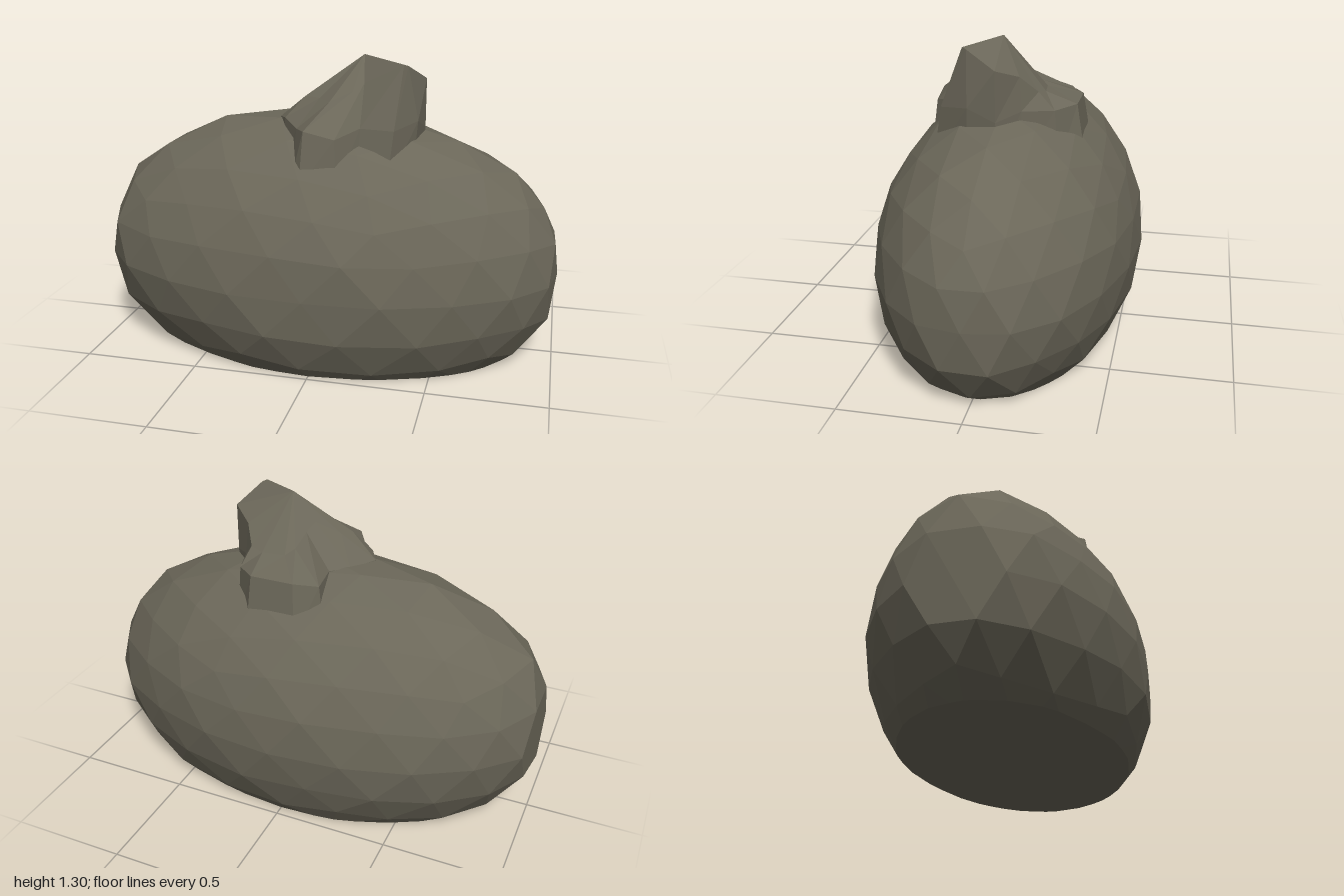
import * as THREE from 'three';

const stone = new THREE.MeshStandardMaterial({ color: 0x6b6759, flatShading: true });
stone.name = 'stone';

// Flat-faced mesh from a list of corner points, three per triangle
function facetMesh(name, corners) {
  const geometry = new THREE.BufferGeometry().setFromPoints(corners);
  geometry.computeVertexNormals();
  const mesh = new THREE.Mesh(geometry, stone);
  mesh.name = name;
  return mesh;
}

// Swellings of the boulder: direction, height, sharpness
const bumps = [
  [-0.66, 0.75, 0, 0.09, 8],
  [-0.9, 0, 0.4, 0.07, 10],
  [-1, 0.3, 0, 0.03, 12],
  [0.7, 0.7, 0, 0.05, 8],
  [0, -0.3, 1, 0.04, 8],
  [-0.1, 1, 0, 0.03, 6],
  [0.85, -0.5, 0, 0.03, 12],
].map(([x, y, z, height, sharp]) => ({ dir: new THREE.Vector3(x, y, z).normalize(), height, sharp }));

function boulderPoint(p) {
  const d = p.clone().normalize();
  let r = 1.01;
  for (const b of bumps) r += b.height * Math.exp(-b.sharp * (1 - d.dot(b.dir)));
  r += 0.008 * Math.sin(9 * d.x + 4 * d.z) * Math.cos(7 * d.y - 5 * d.z);
  const q = new THREE.Vector3(d.x * r, d.y * r * 0.63 + 0.38, d.z * r * 0.57);
  q.x = THREE.MathUtils.clamp(q.x, -1, 1);
  q.z = THREE.MathUtils.clamp(q.z, -0.577, 0.577);
  return q;
}

// Faceted ellipsoid, sliced flat on the ground
function makeBoulder() {
  const sphere = new THREE.IcosahedronGeometry(1, 3);
  sphere.rotateZ(-Math.atan(2 / (1 + Math.sqrt(5))));
  const pos = sphere.attributes.position;
  const corners = [];
  const centre = new THREE.Vector3(0, 0, 0);
  for (let i = 0; i < pos.count; i += 3) {
    const tri = [0, 1, 2].map((k) => boulderPoint(new THREE.Vector3().fromBufferAttribute(pos, i + k)));
    const kept = [];
    let leaving, entering;
    tri.forEach((a, k) => {
      const b = tri[(k + 1) % 3];
      if (a.y >= 0) kept.push(a);
      if ((a.y >= 0) !== (b.y >= 0)) {
        const cut = a.clone().lerp(b, a.y / (a.y - b.y));
        cut.y = 0;
        kept.push(cut);
        if (a.y >= 0) leaving = cut;
        else entering = cut;
      }
    });
    for (let k = 1; k + 1 < kept.length; k++) corners.push(kept[0], kept[k], kept[k + 1]);
    if (leaving) corners.push(entering, leaving, centre); // underside
  }
  return facetMesh('boulder', corners);
}

// Jagged crag: three loops running from +x towards +z, closed by a peak
function makeCrag() {
  const foot = [
    [0.405, 0], [0.37, 0.13], [0.29, 0.29], [0.16, 0.27],
    [0.09, 0.355], [-0.06, 0.375], [-0.11, 0.33], [-0.2, 0.15],
    [-0.24, 0.07], [-0.18, -0.08], [-0.1, -0.12], [-0.13, -0.27],
    [-0.02, -0.34], [0.2, -0.34], [0.29, -0.24], [0.33, -0.09],
  ].map(([x, z]) => [x, 0.8, z]);
  const shoulder = [
    [0.405, 1.0, 0], [0.39, 1.05, 0.12], [0.31, 1.03, 0.25], [0.165, 1.03, 0.23],
    [0.08, 1.0, 0.33], [-0.05, 1.03, 0.335], [-0.1, 1.02, 0.25], [-0.18, 1.04, 0.14],
    [-0.22, 1.03, 0.07], [-0.15, 1.03, -0.05], [-0.08, 1.03, -0.11], [-0.1, 1.03, -0.26],
    [0, 1.04, -0.3], [0.19, 1.04, -0.3], [0.28, 1.03, -0.22], [0.32, 1.03, -0.09],
  ];
  const crest = [
    [0.405, 1.21, 0], [0.345, 1.28, 0.13], [0.33, 1.285, 0.15], [0.16, 1.2, 0.12],
    [0.12, 1.17, 0.16], [0.03, 1.13, 0.2], [-0.03, 1.13, 0.13], [-0.1, 1.13, 0.1],
    [-0.07, 1.14, 0.04], [0.03, 1.19, 0], [0.05, 1.16, -0.05], [0.07, 1.11, -0.12],
    [0.1, 1.09, -0.16], [0.2, 1.09, -0.17], [0.26, 1.1, -0.15], [0.31, 1.17, -0.08],
  ];
  const loops = [foot, shoulder, crest].map((loop) => loop.map((p) => new THREE.Vector3(...p)));
  const peak = new THREE.Vector3(0.14, 1.305, 0.02);
  const corners = [];
  const n = foot.length;
  for (let i = 0; i < n; i++) {
    const j = (i + 1) % n;
    for (let k = 0; k < 2; k++) {
      const [low, high] = [loops[k], loops[k + 1]];
      corners.push(low[i], high[i], low[j], low[j], high[i], high[j]);
    }
    corners.push(loops[2][i], peak, loops[2][j]);
  }
  return facetMesh('crag', corners);
}

export function createModel() {
  const group = new THREE.Group();
  group.name = 'rock';
  group.add(makeBoulder(), makeCrag());
  return group;
}
